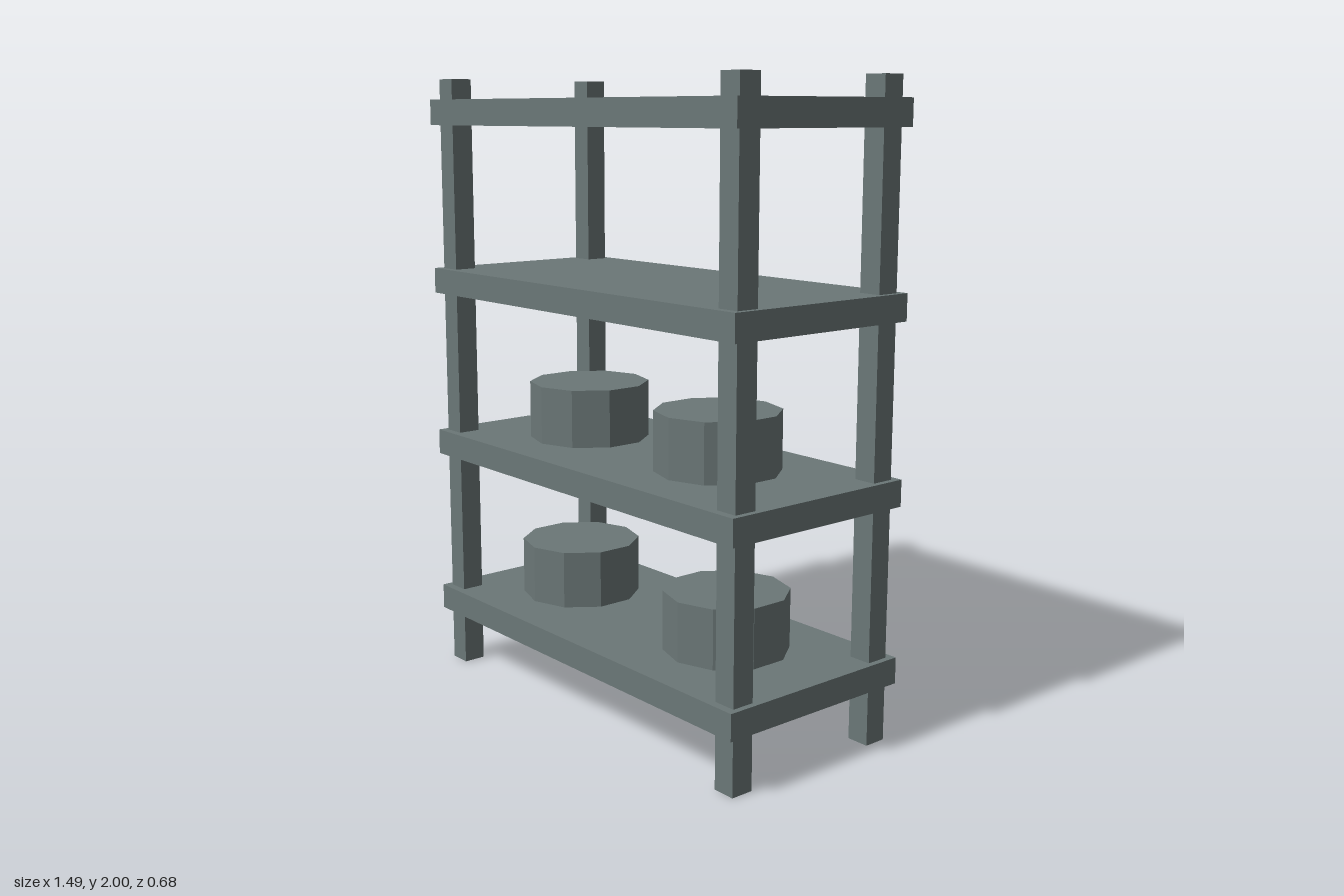
import * as THREE from 'three';

export function createModel() {
  const model = new THREE.Group();
  model.name = 'storageRack';

  const steel = new THREE.MeshStandardMaterial({ color: 0x6b7777, flatShading: true });
  steel.name = 'grey green steel';

  function add(name, geometry, x, y, z) {
    const mesh = new THREE.Mesh(geometry, steel);
    mesh.name = name;
    mesh.position.set(x, y, z);
    model.add(mesh);
  }

  // Four corner posts
  const post = new THREE.BoxGeometry(0.074, 2, 0.074);
  for (const x of [-0.689, 0.689]) {
    for (const z of [-0.277, 0.277]) add('post', post, x, 1, z);
  }

  // Evenly spaced shelves
  const thickness = 0.083;
  const shelf = new THREE.BoxGeometry(1.49, thickness, 0.68);
  const shelfY = (level) => 0.223 + level * 0.5567;
  for (let level = 0; level < 4; level++) add('shelf', shelf, 0, shelfY(level), 0);

  // Ten-sided drums on the two lower shelves
  const height = 0.189;
  const drum = new THREE.CylinderGeometry(0.198, 0.198, height, 10);
  const drumX = [[-0.39, 0.353], [-0.336, 0.308]];
  drumX.forEach((row, level) => {
    for (const x of row) add('drum', drum, x, shelfY(level) + (thickness + height) / 2, 0);
  });

  return model;
}
